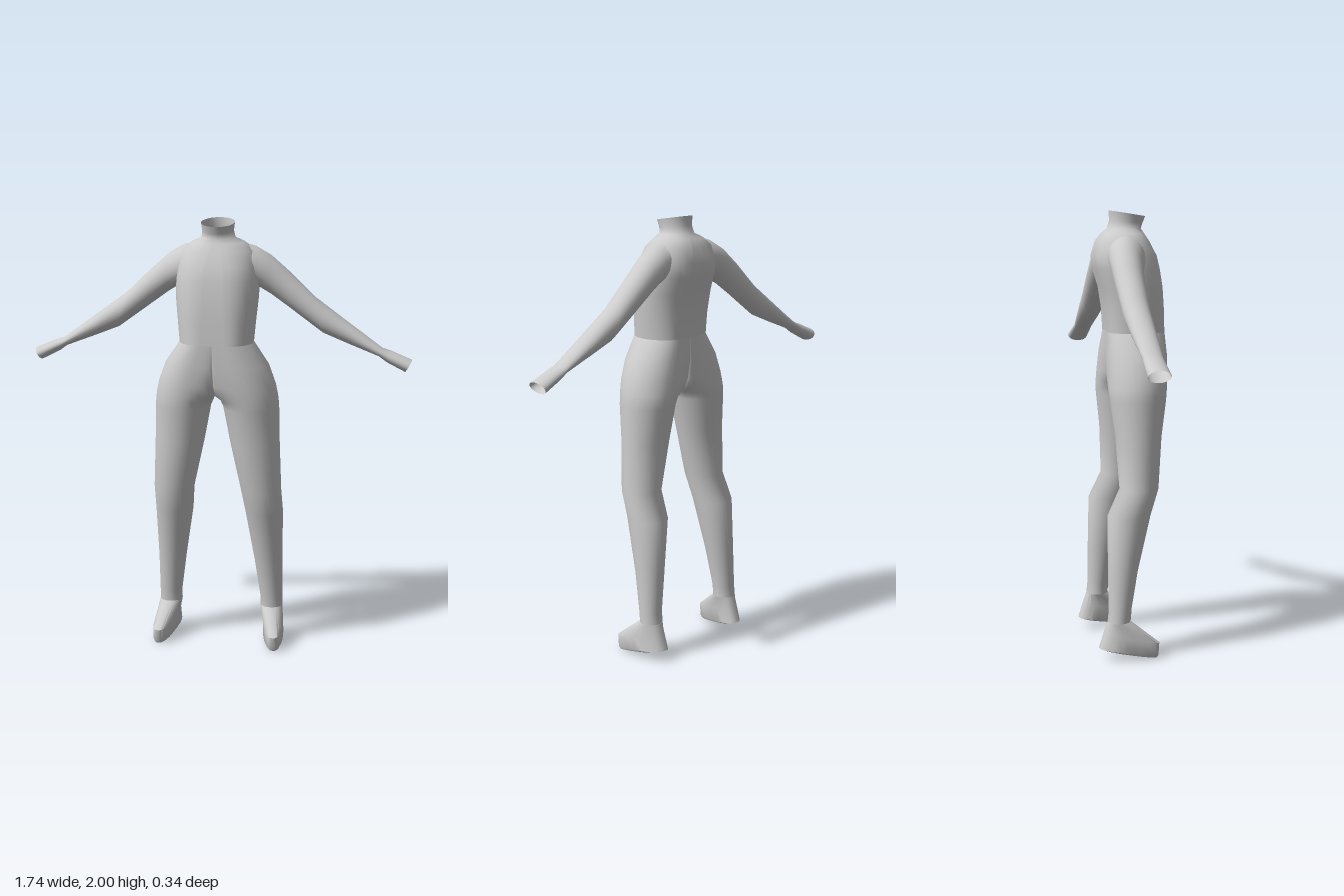
import * as THREE from 'three';
import { mergeGeometries, mergeVertices, toCreasedNormals } from 'three/addons/utils/BufferGeometryUtils.js';

const V = (x, y, z) => new THREE.Vector3(x, y, z);
const lerp = THREE.MathUtils.lerp;
const material = new THREE.MeshStandardMaterial({ color: 0xcccccc, side: THREE.DoubleSide });

// Skin a list of point rows with quads
function skin(rows) {
  const n = rows[0].length, index = [];
  for (let i = 0; i < rows.length - 1; i++) {
    for (let j = 0; j < n - 1; j++) {
      const a = i * n + j, d = a + n;
      index.push(a, a + 1, d, a + 1, d + 1, d);
    }
  }
  const g = new THREE.BufferGeometry().setFromPoints(rows.flat());
  g.setIndex(index);
  return g;
}

// Mirror rows across x, keeping faces outward
const mirror = rows => rows.map(r => r.map(p => V(-p.x, p.y, p.z)).reverse());

function smooth(...geometries) {
  const g = mergeVertices(mergeGeometries(geometries), 1e-4);
  g.computeVertexNormals();
  return g;
}

function add(group, name, geometry) {
  const mesh = new THREE.Mesh(geometry, material);
  mesh.name = name;
  group.add(mesh);
}

// Left half of a body section, from the inner back round the outside to the inner front.
// k = 1 keeps the section open and flat at the middle, k = 0 closes it into a leg.
function halfRing([y, inner, c, outer, front, back, k = 1, tilt = 0]) {
  const m = 8, zc = (front + back) / 2, h = (front - back) / 2, pts = [];
  for (let j = 0; j <= 4 * m; j++) {
    const t = (j / (4 * m)) * Math.PI * 2;
    const s = -Math.sin(t - Math.PI / 2 - Math.PI / 2 + Math.PI / 2); // side: -1 inner, +1 outer
    const side = -Math.cos(t), depth = -Math.sin(t);
    const isInner = side < 0;
    const x = isInner ? c + (c - inner) * side : c + (outer - c) * side;
    const sign = j <= 2 * m ? -1 : 1;
    const d = isInner ? sign * lerp(Math.abs(depth), 1, k) : depth;
    pts.push(V(x, y - tilt * d, zc + h * d));
  }
  return pts;
}

// Closed ring of an arm, from its top and bottom points and depth range
function armRing([tx, ty, bx, by, z0, z1]) {
  const pts = [];
  for (let j = 0; j <= 24; j++) {
    const t = (j / 24) * Math.PI * 2, u = (1 - Math.cos(t)) / 2;
    pts.push(V(lerp(tx, bx, u), lerp(ty, by, u), (z0 + z1) / 2 + ((z1 - z0) / 2) * Math.sin(t)));
  }
  return pts;
}

// Closed foot ring: back and front each give [x centre, half width, y, z]; e squares the outline
function footRing([back, front, e = 1]) {
  const pts = [], pow = v => Math.sign(v) * Math.abs(v) ** e;
  for (let j = 0; j <= 24; j++) {
    const t = (j / 24) * Math.PI * 2, u = (1 - pow(Math.cos(t))) / 2;
    const [cx, w, y, z] = back.map((v, i) => lerp(v, front[i], u));
    pts.push(V(cx + w * pow(Math.sin(t)), y, z));
  }
  return pts;
}

export function createModel() {
  const model = new THREE.Group();
  model.name = 'body';

  // Torso with open neck: y, inner x, centre x, outer x, front z, back z, k, tilt
  const torso = [
    [1.987, 0, 0, 0.075, 0.095, -0.07, 1, 0.013],
    [1.95, 0, 0, 0.07, 0.083, -0.067, 1, 0.008],
    [1.92, 0, 0, 0.076, 0.075, -0.078, 1, 0],
    [1.9, 0, 0.015, 0.12, 0.085, -0.1],
    [1.865, 0, 0.03, 0.165, 0.105, -0.125],
    [1.8, 0, 0.045, 0.182, 0.137, -0.142],
    [1.74, 0, 0.05, 0.187, 0.15, -0.135],
    [1.66, 0, 0.055, 0.186, 0.162, -0.108],
    [1.56, 0, 0.06, 0.176, 0.168, -0.092],
    [1.46, 0, 0.065, 0.167, 0.17, -0.085],
  ].map(halfRing);
  add(model, 'torso', smooth(skin(torso), skin(mirror(torso))));

  // Hips dividing into two legs
  const legs = [
    [1.46, 0, 0.065, 0.167, 0.17, -0.085, 1],
    [1.36, 0, 0.1, 0.235, 0.172, -0.095, 0.93],
    [1.27, 0, 0.125, 0.267, 0.168, -0.099, 0.75],
    [1.22, 0, 0.14, 0.277, 0.162, -0.1, 0.45],
    [1.195, 0.015, 0.148, 0.28, 0.159, -0.1, 0],
    [1.16, 0.03, 0.153, 0.283, 0.155, -0.097, 0],
    [1.0, 0.06, 0.173, 0.287, 0.13, -0.077, 0],
    [0.77, 0.11, 0.203, 0.296, 0.11, -0.065, 0],
    [0.65, 0.125, 0.212, 0.299, 0.072, -0.123, 0],
    [0.4, 0.165, 0.23, 0.295, 0.01, -0.125, 0],
    [0.22, 0.19, 0.243, 0.295, -0.023, -0.125, 0],
    [0.17, 0.19, 0.243, 0.296, -0.028, -0.13, 0],
  ].map(halfRing);
  add(model, 'hipsAndLegs', smooth(skin(legs), skin(mirror(legs))));

  // Arms, open at the wrist: top x, top y, bottom x, bottom y, back z, front z
  const arm = [
    [0.07, 1.905, 0.13, 1.72, -0.1, 0.08],
    [0.16, 1.883, 0.185, 1.7, -0.108, 0.058],
    [0.23, 1.842, 0.235, 1.668, -0.108, 0.035],
    [0.31, 1.772, 0.315, 1.61, -0.108, 0.022],
    [0.43, 1.657, 0.47, 1.497, -0.106, 0.013],
    [0.57, 1.555, 0.58, 1.453, -0.1, 0.007],
    [0.735, 1.436, 0.72, 1.4, -0.09, -0.002],
    [0.78, 1.422, 0.755, 1.374, -0.093, -0.002],
    [0.868, 1.385, 0.838, 1.332, -0.098, 0],
  ].map(armRing);

  // Feet, turned slightly outward, with tilted soles
  const foot = [
    [[0.243, 0.053, 0.17, -0.13], [0.243, 0.053, 0.17, -0.028]],
    [[0.242, 0.055, 0.12, -0.148], [0.274, 0.039, 0.068, 0.102], 0.8],
    [[0.241, 0.056, 0.05, -0.17], [0.275, 0.041, 0.012, 0.098], 0.8],
    [[0.241, 0.05, 0.046, -0.16], [0.275, 0.035, 0, 0.09], 0.8],
    [[0.258, 0, 0.023, -0.035], [0.258, 0, 0.023, -0.035]],
  ].map(footRing);

  for (const [side, flip] of [['left', r => r], ['right', mirror]]) {
    add(model, side + 'Arm', smooth(skin(flip(arm))));
    add(model, side + 'Foot', toCreasedNormals(smooth(skin(flip(foot))), 0.8));
  }
  return model;
}
